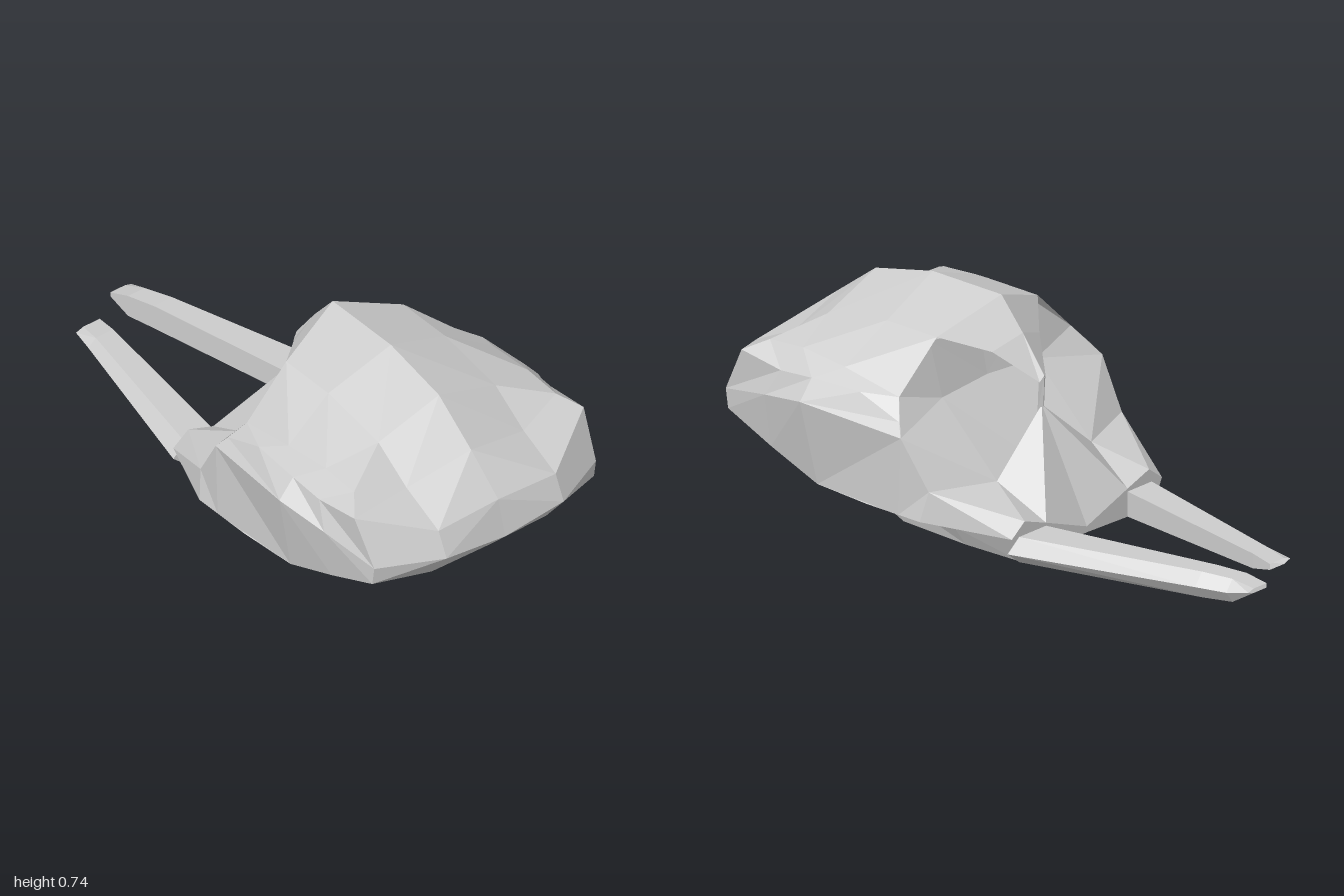
import * as THREE from 'three';

const grey = new THREE.MeshStandardMaterial({ color: 0xcccccc, flatShading: true, side: THREE.DoubleSide });
grey.name = 'bone grey';

// Faceted sheet through rows of [x, y, z] points; optionally mirrored across z = 0.
function sheet(name, rows, mirror = true) {
  const pos = [];
  const tri = (a, b, c) => {
    pos.push(...a, ...b, ...c);
    if (mirror) for (const [x, y, z] of [a, c, b]) pos.push(x, y, -z);
  };
  for (let i = 0; i + 1 < rows.length; i++) {
    for (let j = 0; j + 1 < rows[i].length; j++) {
      const a = rows[i][j], b = rows[i][j + 1], c = rows[i + 1][j + 1], d = rows[i + 1][j];
      tri(a, b, c);
      tri(a, c, d);
    }
  }
  const g = new THREE.BufferGeometry();
  g.setAttribute('position', new THREE.Float32BufferAttribute(pos, 3));
  g.computeVertexNormals();
  const mesh = new THREE.Mesh(g, grey);
  mesh.name = name;
  return mesh;
}

// Tapering prong through five-sided rings, each [x, yLow, yHigh, zInner, zOuter].
function prong(name, rings) {
  return sheet(name, rings.map(([x, y0, y1, zi, zo]) => {
    const zm = zo * 0.7 + zi * 0.3;
    return [[x, y0, zi], [x, y1, zi], [x, y1, zm], [x, (y0 + y1) / 2, zo], [x, y0, zm], [x, y0, zi]];
  }), false);
}

export function createModel() {
  const group = new THREE.Group();
  group.name = 'faceted skull';

  // Shared corner points
  const crown = [0.14, 0.745, 0], shoulder = [0.2, 0.655, 0.235];
  const temples = [[0.21, 0.5, 0.4], [0.43, 0.545, 0.41], [0.61, 0.56, 0.405], [0.75, 0.55, 0.405], [0.82, 0.512, 0.46]];
  const cheekFront = [0.04, 0.24, 0.45], cheekTop = [0.14, 0.4, 0.47], cheekWide = [0.52, 0.435, 0.52];
  const cheekLow = [0.06, 0.14, 0.47], cheekRear = [0.89, 0.29, 0.445], cheekRearTop = [0.9, 0.355, 0.445];
  const muzzleSide = [-0.22, 0.12, 0.35], noseTop = [-0.03, 0.42, 0], noseSide = [-0.04, 0.23, 0.22];
  const rearFloor = [[0.52, 0.145, 0], [0.5, 0.16, 0.2], [0.46, 0.165, 0.36], [0.5, 0.145, 0.46]];

  // Rounded braincase, running over the top and down the back
  group.add(sheet('cranium', [
    [crown, shoulder, temples[0]],
    [[0.43, 0.745, 0], [0.41, 0.655, 0.235], temples[1]],
    [[0.67, 0.69, 0], [0.66, 0.61, 0.235], temples[2]],
    [[0.83, 0.57, 0], [0.8, 0.515, 0.235], temples[3]],
    [[0.965, 0.455, 0], [0.96, 0.44, 0.235], temples[4]],
    [[1, 0.33, 0], [1, 0.355, 0.235], cheekRearTop],
    [[0.92, 0.25, 0], [0.92, 0.255, 0.23], cheekRear],
    [rearFloor[0], rearFloor[1], rearFloor[3]],
  ]));

  // Stepped ledge from the temples out to the cheek line
  const step = [[0.17, 0.44, 0.445], [0.33, 0.5, 0.45], [0.52, 0.5, 0.465], [0.65, 0.49, 0.465], temples[4]];
  const ledge = [cheekTop, cheekWide, cheekWide, [0.7, 0.4, 0.485], cheekRearTop];
  group.add(sheet('templeLedge', temples.map((t, i) => [t, step[i], ledge[i]])));

  // Broad outer cheek plates
  group.add(sheet('cheek', [
    [muzzleSide, muzzleSide],
    [cheekFront, cheekLow],
    [cheekTop, [0.15, 0.14, 0.47]],
    [cheekWide, rearFloor[3]],
    [[0.7, 0.4, 0.485], [0.7, 0.217, 0.455]],
    [cheekRearTop, cheekRear],
  ]));

  // Stepped underside: lower palate block with flanges under the cheeks
  group.add(sheet('underside', [
    [[-0.22, 0.04, 0], [-0.22, 0.035, 0.2], [-0.22, 0.035, 0.31], muzzleSide, muzzleSide],
    [[-0.03, 0.003, 0], [-0.03, 0.03, 0.2], [0, 0.035, 0.32], [0.02, 0.1, 0.355], cheekLow],
    [[0.24, 0.05, 0], [0.24, 0.05, 0.2], [0.25, 0.05, 0.335], [0.28, 0.155, 0.37], [0.28, 0.14, 0.47]],
    [rearFloor[0], rearFloor[1], rearFloor[2], rearFloor[2], rearFloor[3]],
  ]));

  // Muzzle front and the sloping nasal plates
  group.add(sheet('muzzle', [
    [[-0.22, 0.04, 0], [-0.22, 0.035, 0.19], [-0.22, 0.035, 0.31], [-0.22, 0.035, 0.31]],
    [[-0.22, 0.06, 0], [-0.22, 0.13, 0.19], [-0.22, 0.165, 0.29], muzzleSide],
    [noseTop, noseTop, noseSide, cheekFront],
  ]));

  // Eye sockets: floor, then the wall leaning back beneath the roof
  group.add(sheet('eyeSocket', [
    [[-0.03, 0.22, 0], noseSide, cheekFront],
    [[0.2, 0.46, 0], [0.19, 0.45, 0.22], cheekTop],
    [[0.23, 0.6, 0], [0.23, 0.635, 0.235], temples[0]],
  ]));

  // Brow running forward from the crown to the nose
  group.add(sheet('brow', [
    [crown, shoulder],
    [[0.05, 0.64, 0], [0.08, 0.6, 0.11]],
    [[-0.04, 0.52, 0], [-0.035, 0.5, 0.015]],
  ]));

  // Thin upright bar between the sockets
  group.add(sheet('noseBar', [
    [[-0.04, 0.52, 0], [-0.03, 0.5, 0.015]],
    [[-0.037, 0.41, 0], [-0.025, 0.39, 0.015]],
  ]));

  // Long jaw prongs with wedge ends, one slightly longer than the other
  group.add(prong('leftJawProng', [
    [-0.22, 0.035, 0.12, 0.19, 0.35],
    [-0.83, 0.055, 0.105, 0.1, 0.2],
    [-0.91, 0.075, 0.095, 0.09, 0.185],
  ]));
  group.add(prong('rightJawProng', [
    [-0.22, 0.035, 0.12, -0.19, -0.37],
    [-0.83, 0.03, 0.117, -0.065, -0.17],
    [-0.93, 0.032, 0.11, -0.04, -0.135],
    [-1, 0.075, 0.09, -0.025, -0.11],
  ]));

  return group;
}
